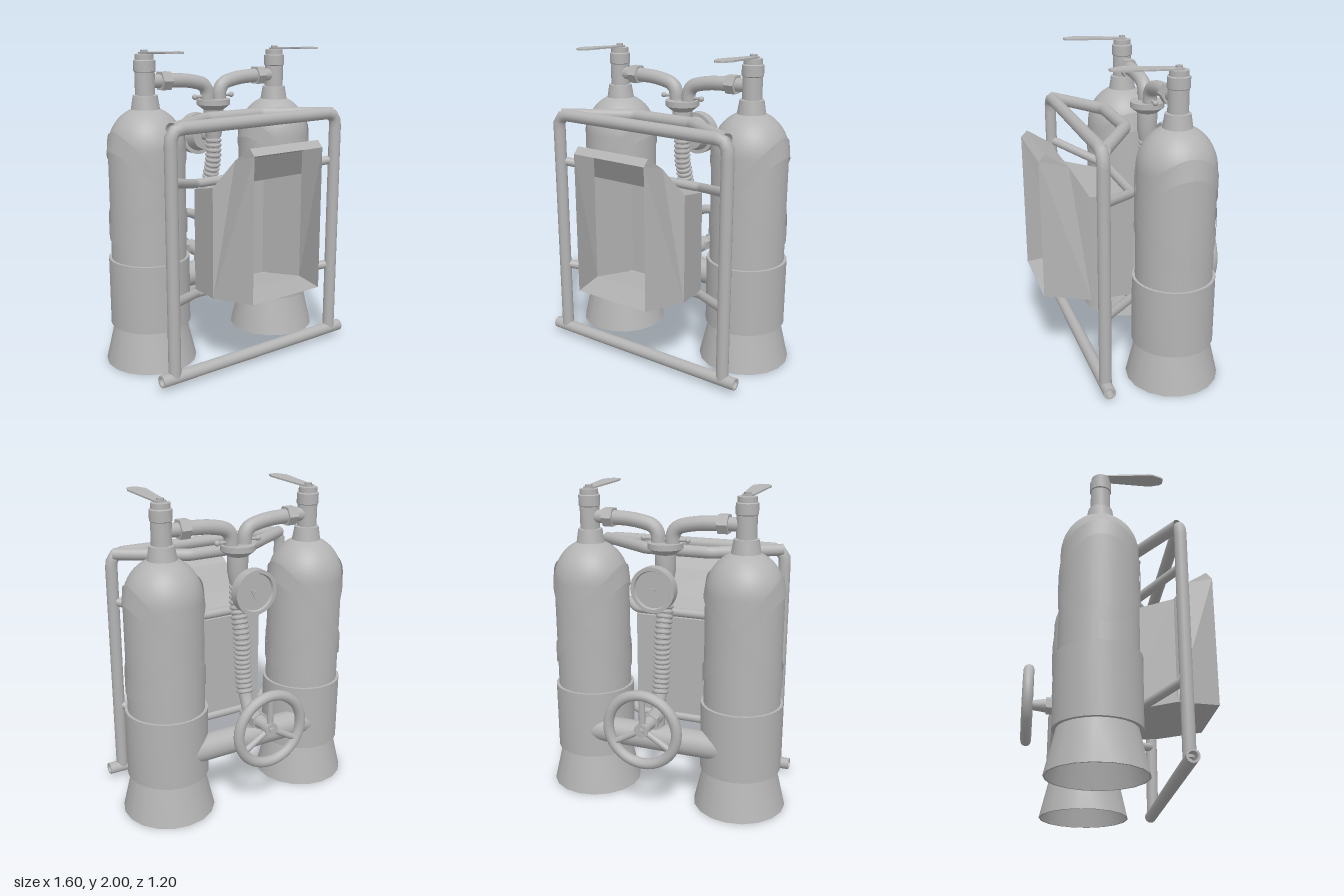
import * as THREE from 'three';
import { toCreasedNormals } from 'three/addons/utils/BufferGeometryUtils.js';

const grey = new THREE.MeshStandardMaterial({ color: 0xb4b4b4, side: THREE.DoubleSide });
grey.name = 'plain grey';

const V = (x, y, z) => new THREE.Vector3(x, y, z);

function add(parent, name, geometry, x = 0, y = 0, z = 0) {
  const mesh = new THREE.Mesh(geometry, grey);
  mesh.name = name;
  mesh.position.set(x, y, z);
  parent.add(mesh);
  return mesh;
}

// Turned part from [radius, height] pairs, with crisp edges
const turned = (profile, sides = 28) =>
  toCreasedNormals(new THREE.LatheGeometry(profile.map(p => new THREE.Vector2(...p)), sides), 0.6);

// Straight rod between two points
function rod(parent, name, a, b, r1, r2 = r1, sides = 16) {
  const mesh = add(parent, name, new THREE.CylinderGeometry(r2, r1, a.distanceTo(b), sides));
  if (sides < 10) mesh.geometry = toCreasedNormals(mesh.geometry, 0.5);
  mesh.position.copy(a).lerp(b, 0.5);
  mesh.quaternion.setFromUnitVectors(V(0, 1, 0), b.clone().sub(a).normalize());
  return mesh;
}

// Bent pipe through points with rounded corners
function pipe(parent, name, pts, radius, bend) {
  const path = new THREE.CurvePath();
  let last = pts[0];
  for (let i = 1; i < pts.length - 1; i++) {
    const a = pts[i].clone().add(pts[i - 1].clone().sub(pts[i]).setLength(bend));
    const b = pts[i].clone().add(pts[i + 1].clone().sub(pts[i]).setLength(bend));
    path.add(new THREE.LineCurve3(last, a));
    path.add(new THREE.QuadraticBezierCurve3(a, pts[i], b));
    last = b;
  }
  path.add(new THREE.LineCurve3(last, pts[pts.length - 1]));
  return add(parent, name, new THREE.TubeGeometry(path, 90, radius, 14));
}

// Tilted strap that hugs the tank and its dome
function strap(tilt) {
  const n = 48, pos = [], index = [];
  for (let i = 0; i <= n; i++) {
    const a = i / n * Math.PI * 2;
    for (const h of [-0.06, 0.06]) {
      const y = 1.165 + h + tilt * 0.29 * Math.cos(a);
      const r = 0.248 * Math.sqrt(1 - Math.max(0, (y - 1.4) / 0.27) ** 2);
      pos.push(Math.cos(a) * r, y, Math.sin(a) * r);
    }
    if (i < n) index.push(2 * i, 2 * i + 1, 2 * i + 2, 2 * i + 1, 2 * i + 3, 2 * i + 2);
  }
  const g = new THREE.BufferGeometry();
  g.setAttribute('position', new THREE.Float32BufferAttribute(pos, 3));
  g.setIndex(index);
  g.computeVertexNormals();
  return g;
}

// Flat handle, flaring forward, with a raised tip
function leverGeometry() {
  const half = [[0.03, -0.02], [0.035, 0.02], [0.058, 0.31], [0.058, 0.33], [0.035, 0.39], [0.02, 0.405]];
  const pts = [...half, ...half.map(([x, z]) => [-x, z]).reverse()];
  const g = new THREE.ExtrudeGeometry(new THREE.Shape(pts.map(p => new THREE.Vector2(...p))),
    { depth: 0.01, bevelEnabled: false });
  g.rotateX(Math.PI / 2);
  const p = g.attributes.position;
  for (let i = 0; i < p.count; i++) if (p.getZ(i) > 0.3) p.setY(i, p.getY(i) + 0.014);
  g.computeVertexNormals();
  return g;
}

function tank(side) {
  const g = new THREE.Group();
  g.name = side > 0 ? 'leftTank' : 'rightTank';
  g.position.set(side * 0.51, 0, -0.165);
  const dome = [];
  for (let i = 0; i <= 10; i++) {
    const a = i / 10 * 1.3;
    dome.push([0.24 * Math.cos(a), 1.4 + 0.26 * Math.sin(a)]);
  }
  add(g, 'tankBody', turned([[0, 0.27], [0.24, 0.27], ...dome, [0, 1.65]], 32));
  add(g, 'footSkirt', turned([[0.295, 0], [0.232, 0.27], [0.222, 0.27], [0.283, 0], [0.295, 0]], 18));
  add(g, 'sleeve', turned([[0.235, 0.26], [0.258, 0.26], [0.258, 0.7], [0.238, 0.7]], 32));
  add(g, 'strapA', strap(1));
  add(g, 'strapB', strap(-1));
  add(g, 'valveNeck', turned([[0.09, 1.64], [0.076, 1.725], [0.05, 1.725], [0.05, 1.73], [0.062, 1.73],
    [0.062, 1.865], [0.068, 1.87], [0.068, 1.935], [0.058, 1.94], [0.058, 1.972], [0, 1.972]], 20));
  add(g, 'lever', leverGeometry(), 0, 1.985, 0);
  add(g, 'leverBolt', new THREE.CylinderGeometry(0.022, 0.022, 0.022, 6).toNonIndexed(), 0, 1.986, 0);
  return g;
}

// Open-fronted angular holder with a sloping lid
function holder() {
  const back = s => [V(s * 0.28, 0.47, 0.02), V(s * 0.28, 1.14, 0.02)];
  const side = s => [V(s * 0.35, 0.515, 0.32), V(s * 0.35, 1.21, 0.32)];
  const front = s => [V(s * 0.26, 0.54, 0.6), V(s * 0.26, 1.43, 0.6)];
  const lip = s => V(s * 0.26, 1.47, 0.56), knee = s => V(s * 0.26, 1.38, 0.42);
  const pos = [];
  const face = (...c) => {
    for (let i = 1; i < c.length - 1; i++) for (const v of [c[0], c[i], c[i + 1]]) pos.push(v.x, v.y, v.z);
  };
  const [bl, tl] = back(1), [br, tr] = back(-1);
  face(bl, br, tr, tl);
  const rim = s => [side(s)[1], knee(s)];
  for (const s of [1, -1]) {
    const [b0, b1] = back(s), [s0, s1] = side(s), [f0, f1] = front(s);
    face(b0, b1, s1, s0);
    face(s0, s1, knee(s), f1, f0);
    face(knee(s), lip(s), f1);
  }
  face(tl, tr, rim(-1)[0], rim(1)[0]);
  face(rim(1)[0], rim(-1)[0], rim(-1)[1], rim(1)[1]);
  face(knee(1), knee(-1), lip(-1), lip(1));
  face(lip(1), lip(-1), front(-1)[1], front(1)[1]);
  face(bl, side(1)[0], side(-1)[0], br);
  face(side(1)[0], front(1)[0], front(-1)[0], side(-1)[0]);
  const g = new THREE.BufferGeometry();
  g.setAttribute('position', new THREE.Float32BufferAttribute(pos, 3));
  g.computeVertexNormals();
  return g;
}

function frame() {
  const g = new THREE.Group();
  g.name = 'frame';
  pipe(g, 'frontHoop', [V(-0.635, 0.08, 0.318), V(-0.635, 1.582, 0.318), V(0.635, 1.582, 0.318), V(0.635, 0.08, 0.318)], 0.039, 0.08);
  pipe(g, 'topRearBar', [V(-0.62, 1.58, 0.31), V(-0.22, 1.58, 0.055), V(0.22, 1.58, 0.055), V(0.62, 1.58, 0.31)], 0.039, 0.03);
  for (const y of [1.275, 0.545])
    pipe(g, 'rung', [V(-0.635, y, 0.318), V(-0.28, y - 0.1, 0.03), V(0.28, y - 0.1, 0.03), V(0.635, y, 0.318)], 0.029, 0.03);
  const foot = add(g, 'footBar', turned([[0.027, -0.73], [0.039, -0.73], [0.039, 0.73], [0.027, 0.73], [0.027, -0.73]], 16), 0, 0.07, 0.318);
  foot.rotation.z = Math.PI / 2;
  return g;
}

function plumbing() {
  const g = new THREE.Group();
  g.name = 'plumbing';
  const z = -0.165;
  for (const s of [-1, 1]) {
    rod(g, 'outlet', V(s * 0.5, 1.805, z), V(s * 0.33, 1.805, z), 0.042);
    rod(g, 'hexNut', V(s * 0.405, 1.805, z), V(s * 0.34, 1.805, z), 0.064, 0.064, 6);
    pipe(g, 'feedPipe', [V(s * 0.35, 1.805, z), V(s * 0.2, 1.8, z), V(s * 0.05, 1.765, z), V(s * 0.045, 1.65, z)], 0.045, 0.07);
    add(g, 'wingKnob', new THREE.SphereGeometry(0.018, 10, 8), s * 0.145, 1.69, z);
  }
  rod(g, 'wingBar', V(-0.145, 1.69, z), V(0.145, 1.69, z), 0.01);
  add(g, 'manifold', turned([[0, 1.42], [0.05, 1.42], [0.065, 1.5], [0.065, 1.6], [0.11, 1.635], [0.11, 1.67], [0, 1.67]]), 0, 0, z);

  // Pressure gauge facing backwards
  const gauge = new THREE.Group();
  gauge.name = 'gauge';
  gauge.position.set(0, 1.42, -0.24);
  gauge.rotation.x = -Math.PI / 2;
  add(gauge, 'gaugeCase', turned([[0, -0.06], [0.035, -0.06], [0.035, 0.02], [0.095, 0.02], [0.115, 0.085], [0.14, 0.085],
    [0.14, 0.15], [0.118, 0.15], [0.112, 0.135], [0, 0.135]]));
  add(gauge, 'needle', new THREE.BoxGeometry(0.012, 0.006, 0.09), 0.01, 0.138, -0.02).rotation.y = 0.5;
  add(gauge, 'needlePin', new THREE.CylinderGeometry(0.014, 0.014, 0.012, 10), 0, 0.14, 0);
  g.add(gauge);

  // Ribbed hose
  const curve = new THREE.CatmullRomCurve3([V(0, 1.45, z), V(0, 1.28, -0.17), V(0, 1.08, -0.22),
    V(0, 0.87, -0.235), V(0, 0.7, -0.275), V(0, 0.6, -0.32)]);
  add(g, 'hose', new THREE.TubeGeometry(curve, 50, 0.042, 14));
  for (let i = 0; i < 22; i++) {
    const t = 0.06 + i * 0.037;
    const rib = add(g, 'hoseRib', new THREE.TorusGeometry(0.042, 0.013, 6, 16));
    rib.position.copy(curve.getPointAt(t));
    rib.quaternion.setFromUnitVectors(V(0, 0, 1), curve.getTangentAt(t));
  }
  rod(g, 'crossPipe', V(-0.45, 0.44, -0.325), V(0.45, 0.44, -0.325), 0.085, 0.085, 24);
  return g;
}

function handwheel() {
  const g = new THREE.Group();
  g.name = 'handwheel';
  g.position.set(0, 0.59, 0);
  rod(g, 'valveBody', V(0, 0, -0.28), V(0, 0, -0.42), 0.05);
  rod(g, 'valveBase', V(0, -0.13, -0.325), V(0, 0, -0.325), 0.05);
  rod(g, 'valveNut', V(0, 0, -0.395), V(0, 0, -0.45), 0.058, 0.058, 6);
  rod(g, 'stem', V(0, 0, -0.44), V(0, 0, -0.54), 0.045, 0.03);
  rod(g, 'hub', V(0, 0, -0.535), V(0, 0, -0.585), 0.045);
  rod(g, 'hubNut', V(0, 0, -0.58), V(0, 0, -0.6), 0.022, 0.022, 6);
  add(g, 'rim', new THREE.TorusGeometry(0.224, 0.033, 12, 36), 0, 0, -0.565);
  for (let i = 0; i < 3; i++) {
    const a = Math.PI / 2 + i * Math.PI * 2 / 3;
    rod(g, 'spoke', V(0, 0, -0.56), V(Math.cos(a) * 0.22, Math.sin(a) * 0.22, -0.565), 0.02);
  }
  return g;
}

export function createModel() {
  const model = new THREE.Group();
  model.name = 'twinTankPack';
  model.add(tank(1), tank(-1), frame(), plumbing(), handwheel());
  add(model, 'holder', holder());
  return model;
}
